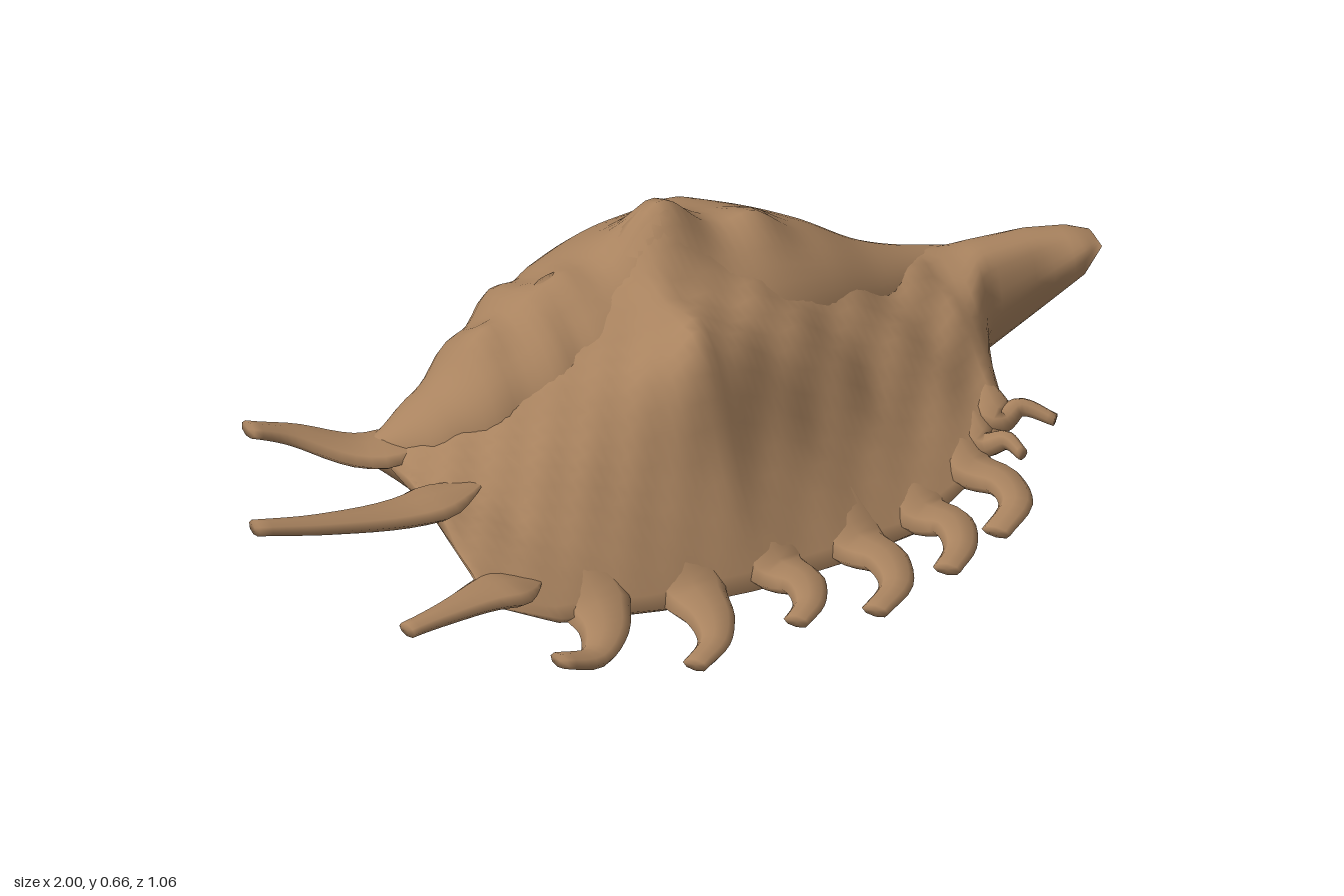
import * as THREE from 'three';

const V = (x, y, z) => new THREE.Vector3(x, y, z);

// Skin closed rings of points into one smooth surface with capped ends
function loft(rings) {
  const n = rings[0].length, m = rings.length, pos = [], index = [];
  rings.forEach(r => r.forEach(p => pos.push(p.x, p.y, p.z)));
  for (let i = 0; i < m - 1; i++) for (let j = 0; j < n; j++) {
    const k = (j + 1) % n, a = i * n + j, b = i * n + k;
    index.push(a, a + n, b, b, a + n, b + n);
  }
  [0, m - 1].forEach(i => {
    const c = rings[i].reduce((s, p) => s.add(p), V(0, 0, 0)).divideScalar(n);
    const ci = pos.length / 3;
    pos.push(c.x, c.y, c.z);
    for (let j = 0; j < n; j++) {
      const a = i * n + j, b = i * n + (j + 1) % n;
      if (i === 0) index.push(ci, a, b); else index.push(ci, b, a);
    }
  });
  const g = new THREE.BufferGeometry();
  g.setAttribute('position', new THREE.Float32BufferAttribute(pos, 3));
  g.setIndex(index);
  g.computeVertexNormals();
  return g;
}

// Interpolate station rows [x, ...values] at any x
function table(rows, Kind) {
  const size = rows[0].length - 1;
  const it = new Kind(rows.map(r => r[0]), rows.flatMap(r => r.slice(1)), size, new Float32Array(size));
  return x => Array.from(it.evaluate(x));
}

// Rounded knobs along the crest: x, z, height, radius
const KNOBS = [
  [0.06, -0.22, 0.11, 0.085], [0.27, -0.2, 0.04, 0.06], [-0.18, -0.23, 0.03, 0.06],
  [-0.34, -0.22, 0.03, 0.05], [-0.02, 0.08, 0.03, 0.07], [0.2, -0.45, 0.03, 0.07], [-0.24, -0.42, 0.03, 0.06],
];
const knob = (x, z) => KNOBS.reduce((s, [kx, kz, h, r]) =>
  s + h * Math.exp(-((x - kx) ** 2 + (z - kz) ** 2) / (r * r)), 0);

// Body whorl and spire: x, centre y, centre z, radius y, radius z
const BODY = [
  [-0.62, 0.25, -0.23, 0.012, 0.012], [-0.5, 0.24, -0.2, 0.1, 0.1], [-0.35, 0.26, -0.22, 0.18, 0.165],
  [-0.2, 0.265, -0.235, 0.238, 0.222], [0, 0.275, -0.262, 0.27, 0.266], [0.12, 0.28, -0.262, 0.278, 0.26],
  [0.25, 0.3, -0.248, 0.25, 0.24], [0.4, 0.32, -0.22, 0.177, 0.172], [0.53, 0.317, -0.2, 0.105, 0.11],
  [0.7, 0.31, -0.21, 0.05, 0.06], [0.85, 0.33, -0.2, 0.01, 0.01],
];
function bodyGeometry() {
  const at = table(BODY, THREE.CubicInterpolant), rings = [];
  const swell = v => Math.sign(v) * Math.abs(v) ** 0.95;
  for (let i = 0; i <= 70; i++) {
    const x = -0.62 + 1.47 * i / 70;
    const [yc, zc, ry, rz] = at(x);
    const whorl = 1 + (x < -0.15 ? 0.035 * Math.sin((x + 0.15) * 48) : 0);
    rings.push(Array.from({ length: 40 }, (_, j) => {
      const t = j / 40 * Math.PI * 2, s = Math.sin(t);
      const z = zc + Math.max(rz, 0.005) * whorl * swell(Math.cos(t));
      const y = yc + Math.max(ry, 0.005) * whorl * swell(s);
      return V(x, y + Math.max(0, s) * knob(x, z), z);
    }));
  }
  return loft(rings);
}

// Flared lip and canal: x, then five (y, z) pairs from crest to outer edge
const LIP = [
  [-0.59, 0.25, -0.24, 0.26, -0.12, 0.255, 0, 0.21, 0.13, 0.15, 0.27],
  [-0.45, 0.34, -0.25, 0.32, -0.12, 0.27, 0.02, 0.2, 0.16, 0.1, 0.31],
  [-0.2, 0.5, -0.26, 0.44, -0.08, 0.36, 0.06, 0.22, 0.18, 0.05, 0.31],
  [0, 0.545, -0.27, 0.525, -0.08, 0.47, 0.09, 0.26, 0.18, 0.035, 0.31],
  [0.2, 0.55, -0.27, 0.5, -0.1, 0.41, 0.05, 0.22, 0.16, 0.035, 0.3],
  [0.4, 0.49, -0.25, 0.44, -0.12, 0.34, 0.01, 0.18, 0.13, 0.04, 0.27],
  [0.55, 0.39, -0.25, 0.38, -0.14, 0.3, 0, 0.19, 0.1, 0.08, 0.21],
  [0.68, 0.34, -0.27, 0.37, -0.18, 0.31, -0.06, 0.23, 0.03, 0.15, 0.13],
  [0.75, 0.31, -0.27, 0.37, -0.2, 0.36, -0.12, 0.25, -0.09, 0.145, -0.12],
  [0.88, 0.3, -0.235, 0.37, -0.19, 0.37, -0.12, 0.3, -0.09, 0.22, -0.11],
  [0.96, 0.325, -0.185, 0.37, -0.16, 0.375, -0.11, 0.35, -0.07, 0.3, -0.07],
  [1.0, 0.35, -0.15, 0.365, -0.13, 0.365, -0.11, 0.36, -0.09, 0.355, -0.07],
];
const lipAt = table(LIP, THREE.LinearInterpolant);
function lipCurve(x) {
  const v = lipAt(x);
  return new THREE.SplineCurve([0, 1, 2, 3, 4].map(k => new THREE.Vector2(v[2 * k + 1], v[2 * k])));
}
function lipGeometry() {
  const rings = [], N = 18, M = 80;
  for (let i = 0; i <= M; i++) {
    const u = i / M, x = -0.59 + 1.59 * u, curve = lipCurve(x);
    const thick = 0.035 * Math.min(1, u * 10, (1 - u) * 6);
    const top = [], under = [];
    for (let j = 0; j <= N; j++) {
      const f = j / N, p = curve.getPoint(f), t = curve.getTangent(f);
      // Folds and growth ridges roughen the outer face
      const rough = x < 0.68 ? 0.012 * Math.sin(x * 41 + p.x * 9) * Math.sin(p.x * 33 + x * 13 + 1) * Math.sin(Math.PI * f) : 0;
      const k = knob(x, p.x) * (x < 0.7 ? 1 : 0);
      const w = thick * (1 - 0.4 * f);
      top.push(V(x, p.y + k + rough, p.x));
      under.push(V(x, p.y - w * t.x + rough, p.x + w * t.y));
    }
    rings.push([...top.reverse(), ...under]);
  }
  return loft(rings);
}

// Flattened, tapering finger along a curved path
function fingerGeometry(points, w0, w1, h0) {
  const curve = new THREE.CatmullRomCurve3(points), rings = [];
  for (let i = 0; i <= 16; i++) {
    const f = i / 16, p = curve.getPoint(f), t = curve.getTangent(f);
    const side = V(0, 0, 0).crossVectors(t, V(0, 1, 0)).normalize();
    const up = V(0, 0, 0).crossVectors(side, t).normalize();
    // The root starts as a thin point hidden in the shell
    const root = Math.min(1, 0.1 + f * 4);
    const w = (w1 + (w0 - w1) * (1 - f) ** 2) * root, h = (h0 + (0.014 - h0) * f) * root;
    rings.push(Array.from({ length: 8 }, (_, j) => {
      const a = j / 8 * Math.PI * 2;
      return p.clone().addScaledVector(side, w * Math.cos(a)).addScaledVector(up, h * Math.sin(a));
    }));
  }
  return loft(rings);
}

// Long fingers at the spire end: path, base half width, tip half width
const SPIRE_FINGERS = [
  [[[-0.47, 0.28, -0.17], [-0.62, 0.262, -0.22], [-0.75, 0.305, -0.28], [-0.85, 0.345, -0.285]], 0.11, 0.03],
  [[[-0.47, 0.262, 0.0], [-0.64, 0.255, 0.02], [-0.84, 0.285, 0.025], [-1.0, 0.32, 0.02]], 0.1, 0.025],
  [[[-0.46, 0.15, 0.23], [-0.58, 0.165, 0.25], [-0.7, 0.17, 0.28], [-0.8, 0.17, 0.3]], 0.11, 0.025],
];
// Hooked fingers rooted in the lip: root x, outer path, base half width, tip half width
const LIP_FINGERS = [
  [-0.36, [[-0.385, 0.08, 0.37], [-0.44, 0.07, 0.43], [-0.53, 0.1, 0.45]], 0.12, 0.028],
  [-0.14, [[-0.15, 0.055, 0.39], [-0.18, 0.045, 0.46], [-0.25, 0.04, 0.51]], 0.12, 0.028],
  [0.06, [[0.08, 0.055, 0.36], [0.06, 0.045, 0.42], [0.01, 0.04, 0.46]], 0.11, 0.028],
  [0.25, [[0.27, 0.055, 0.36], [0.25, 0.045, 0.44], [0.17, 0.04, 0.5]], 0.11, 0.03],
  [0.42, [[0.45, 0.06, 0.31], [0.43, 0.05, 0.38], [0.37, 0.045, 0.435]], 0.1, 0.03],
  [0.56, [[0.595, 0.09, 0.26], [0.585, 0.08, 0.33], [0.51, 0.065, 0.385]], 0.08, 0.032],
  [0.61, [[0.64, 0.14, 0.19], [0.65, 0.13, 0.24]], 0.06, 0.012],
  [0.66, [[0.71, 0.16, 0.12], [0.76, 0.145, 0.175]], 0.07, 0.012],
];
// Two points just inside the lip's rim
const rootPoints = x => [0.78, 0.95].map(f => {
  const p = lipCurve(x).getPoint(f);
  return V(x, p.y - 0.008, p.x - 0.012);
});

export function createModel() {
  const group = new THREE.Group();
  group.name = 'spiderConch';
  const shell = new THREE.MeshStandardMaterial({ color: 0xa9835f, side: THREE.DoubleSide });
  shell.name = 'shellBrown';
  const add = (name, geometry) => {
    const mesh = new THREE.Mesh(geometry, shell);
    mesh.name = name;
    group.add(mesh);
  };
  add('bodyWhorl', bodyGeometry());
  add('flaredLip', lipGeometry());
  SPIRE_FINGERS.forEach(([path, w0, w1]) =>
    add('spireFinger', fingerGeometry(path.map(p => V(...p)), w0, w1, 0.024)));
  LIP_FINGERS.forEach(([x, path, w0, w1]) =>
    add('lipFinger', fingerGeometry([...rootPoints(x), ...path.map(p => V(...p))], w0, w1, 0.034)));
  return group;
}
